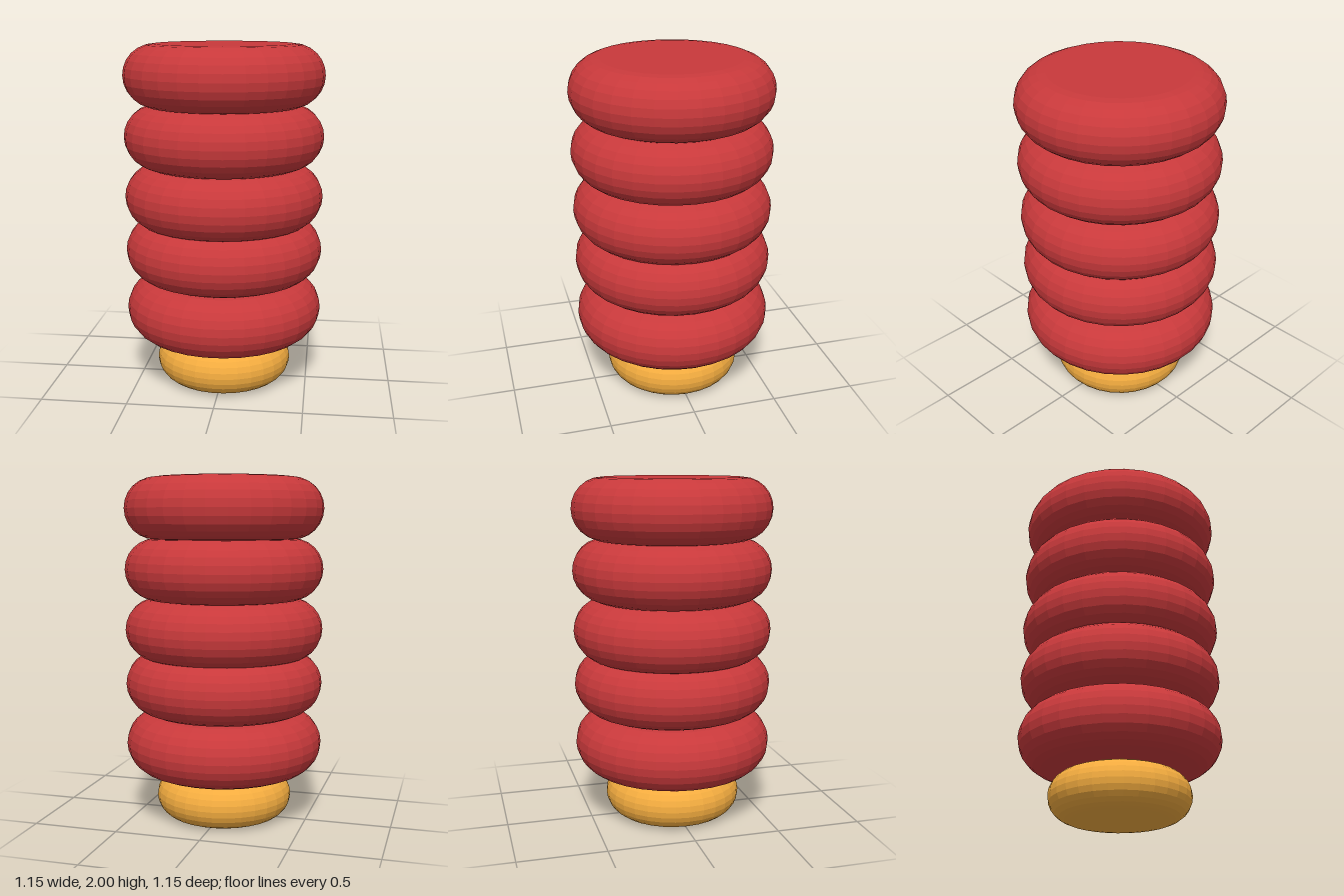
import * as THREE from 'three';

const SIDES = 30;
const ARC_STEPS = 12;

// Flat-faced disc with a fully rounded rim, centred on its own origin
function roundedDisc(radius, halfHeight) {
  const flat = radius - halfHeight;
  const profile = [new THREE.Vector2(0, -halfHeight)];
  for (let i = 0; i <= ARC_STEPS; i++) {
    const a = -Math.PI / 2 + (Math.PI * i) / ARC_STEPS;
    profile.push(new THREE.Vector2(flat + halfHeight * Math.cos(a), halfHeight * Math.sin(a)));
  }
  profile.push(new THREE.Vector2(0, halfHeight));
  return new THREE.LatheGeometry(profile, SIDES, Math.PI / 2);
}

export function createModel() {
  const model = new THREE.Group();
  model.name = 'ringStack';
  const red = new THREE.MeshStandardMaterial({ color: 0xc8393b, flatShading: true });
  const yellow = new THREE.MeshStandardMaterial({ color: 0xf2ab3f, flatShading: true });

  // Small foot disc
  const foot = new THREE.Mesh(roundedDisc(0.4, 0.129), yellow);
  foot.name = 'footDisc';
  foot.position.y = 0.129;
  model.add(foot);

  // Stacked body rings, slightly uneven in spacing
  const ringGeometry = roundedDisc(0.577, 0.177);
  [0.452, 0.808, 1.126, 1.475, 1.823].forEach((y, i) => {
    const ring = new THREE.Mesh(ringGeometry, red);
    ring.name = `bodyRing${i + 1}`;
    ring.position.y = y;
    model.add(ring);
  });
  return model;
}
